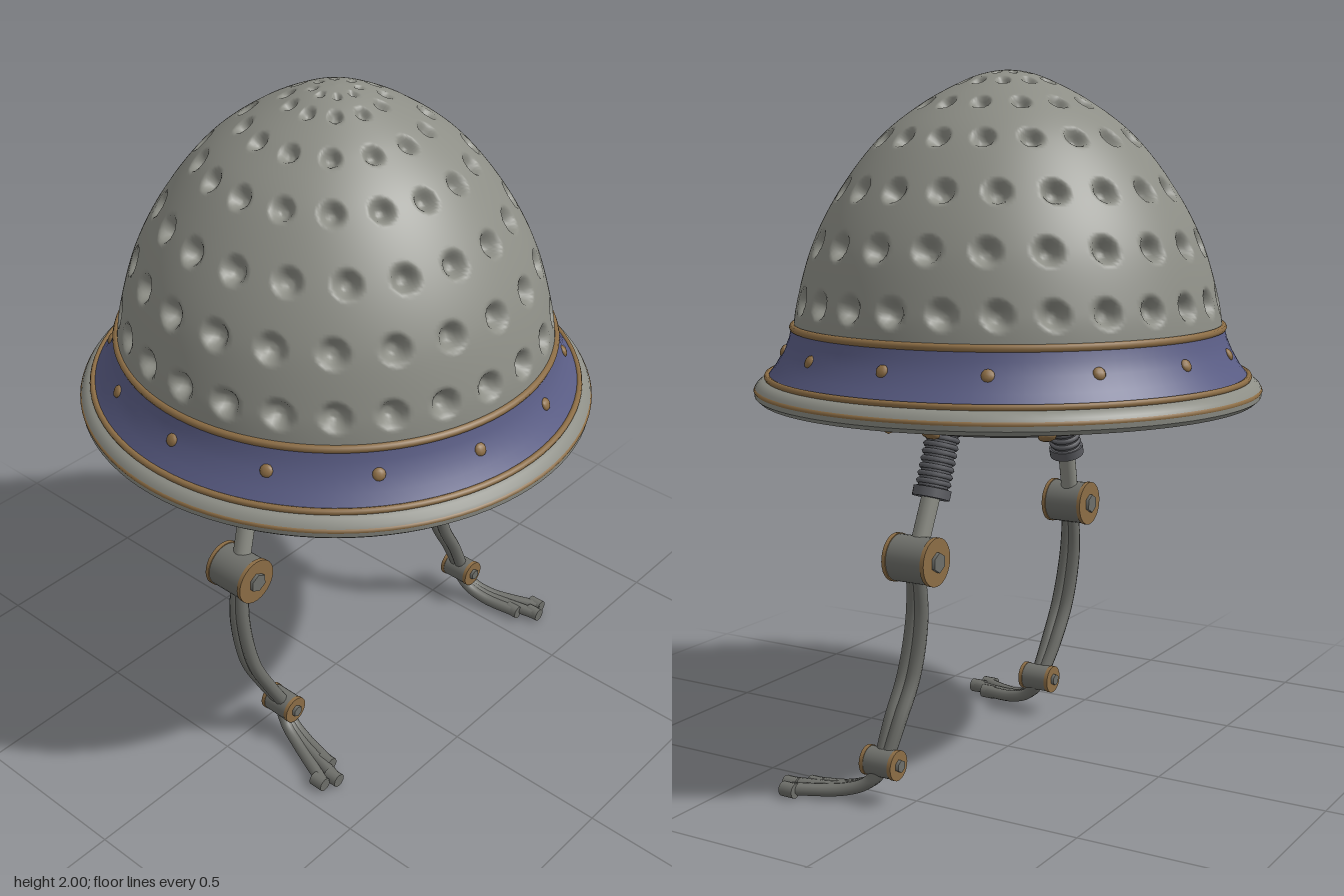
import * as THREE from 'three';
import { mergeVertices, toCreasedNormals } from 'three/addons/utils/BufferGeometryUtils.js';

const V = (x, y, z) => new THREE.Vector3(x, y, z);
const mat = (name, color, side = THREE.FrontSide) => {
  const m = new THREE.MeshStandardMaterial({ color, side });
  m.name = name;
  return m;
};

export function createModel() {
  const shell = mat('shell grey', 0x8d8e86);
  const blue = mat('band blue', 0x5a5d85, THREE.DoubleSide);
  const gold = mat('aged brass', 0x8c6d45);
  const metal = mat('leg grey', 0x6e6f6a);
  const dark = mat('underside grey', 0x5c5c59);
  const spring = mat('spring grey', 0x5a5b60);

  const model = new THREE.Group();
  const add = (parent, name, geometry, material, pos) => {
    const m = new THREE.Mesh(geometry, material);
    m.name = name;
    if (pos) m.position.copy(pos);
    parent.add(m);
    return m;
  };
  const lathe = (name, pts, material) => add(model, name, toCreasedNormals(
    new THREE.LatheGeometry(pts.map(p => new THREE.Vector2(...p)), 96), 0.5), material);
  const ring = (parent, name, r, tube, y, material) => {
    const m = add(parent, name, new THREE.TorusGeometry(r, tube, 8, r > 0.2 ? 96 : 24), material, V(0, y, 0));
    m.rotation.x = Math.PI / 2;
    return m;
  };
  const rod = (parent, name, a, b, r1, r2, material, sides = 20) => {
    const m = add(parent, name, new THREE.CylinderGeometry(r2, r1, a.distanceTo(b), sides), material,
      a.clone().lerp(b, 0.5));
    m.quaternion.setFromUnitVectors(V(0, 1, 0), b.clone().sub(a).normalize());
    return m;
  };
  const tube = (parent, name, pts, r, material) =>
    add(parent, name, new THREE.TubeGeometry(new THREE.CatmullRomCurve3(pts), 28, r, 10), material);

  // Dome: a fine lathe whose vertices sink into rows of round dimples
  const outline = new THREE.SplineCurve([
    [0.618, 1.26], [0.603, 1.36], [0.555, 1.52], [0.475, 1.67], [0.365, 1.81],
    [0.245, 1.905], [0.13, 1.967], [0.06, 1.992], [0, 2]
  ].map(p => new THREE.Vector2(...p)));
  // each row: radius, height, count, dimple size, half-step offset
  const rows = [
    [0.603, 1.36, 26, 0.045, 0.5], [0.555, 1.52, 22, 0.045, 0], [0.475, 1.67, 20, 0.043, 0.5],
    [0.365, 1.81, 18, 0.038, 0.5], [0.245, 1.905, 14, 0.032, 0], [0.13, 1.967, 11, 0.024, 0.5],
    [0.06, 1.992, 8, 0.015, 0]
  ];
  const dimples = [];
  for (const [r, y, n, size, off] of rows) {
    for (let i = 0; i < n; i++) {
      const a = (i + off) / n * Math.PI * 2;
      dimples.push({ c: V(Math.sin(a) * r, y, Math.cos(a) * r), size });
    }
  }
  let dome = new THREE.LatheGeometry(outline.getSpacedPoints(130), 360);
  dome.deleteAttribute('uv');
  dome.deleteAttribute('normal');
  dome = mergeVertices(dome, 1e-5);
  dome.computeVertexNormals();
  const pos = dome.attributes.position, nor = dome.attributes.normal;
  const p = V(0, 0, 0), n = V(0, 0, 0);
  for (let i = 0; i < pos.count; i++) {
    p.fromBufferAttribute(pos, i);
    n.fromBufferAttribute(nor, i);
    for (const { c, size } of dimples) {
      const t = p.distanceTo(c) / size;
      if (t < 1) {
        const s = Math.min(1, (1 - t) / 0.75);
        p.addScaledVector(n, -size * 0.85 * s * s * (3 - 2 * s));
        break;
      }
    }
    pos.setXYZ(i, p.x, p.y, p.z);
  }
  dome.computeVertexNormals();
  add(model, 'dimpledDome', dome, shell);

  // Flared band, brass edging and rim
  lathe('blueBand', [[0.695, 1.135], [0.668, 1.17], [0.645, 1.21], [0.63, 1.245], [0.622, 1.28]], blue);
  ring(model, 'upperTrim', 0.618, 0.011, 1.278, gold);
  ring(model, 'lowerTrim', 0.694, 0.009, 1.138, gold);
  lathe('rim', [[0.69, 1.066], [0.715, 1.07], [0.73, 1.083], [0.732, 1.1], [0.725, 1.115],
    [0.71, 1.128], [0.69, 1.134]], shell);
  ring(model, 'rimTrim', 0.724, 0.009, 1.1, gold);

  // Underside and shallow dish
  lathe('underside', [[0.4, 1.066], [0.69, 1.066]], dark);
  lathe('dish', [[0, 0.995], [0.3, 0.995], [0.4, 1.012], [0.45, 1.036], [0.468, 1.07]], dark);

  // Studs around the band and the dish
  const studs = (name, count, offset, r, y, tilt, size) => {
    const geometry = new THREE.SphereGeometry(size, 10, 6);
    geometry.scale(1, 1, 0.5);
    for (let i = 0; i < count; i++) {
      const a = (i + offset) / count * Math.PI * 2;
      const m = add(model, name, geometry, gold, V(Math.sin(a) * r, y, Math.cos(a) * r));
      m.rotation.set(tilt, a, 0, 'YXZ');
    }
  };
  studs('bandStud', 14, 0.5, 0.645, 1.213, -0.5, 0.018);
  studs('dishStud', 8, 0, 0.415, 1.015, 1.15, 0.026);

  // Pair of small bolts under the front
  for (const s of [-1, 1]) {
    rod(model, 'frontBolt', V(s * 0.16, 1.01, 0.285), V(s * 0.17, 0.972, 0.285), 0.032, 0.036, gold, 12);
    rod(model, 'frontBoltCap', V(s * 0.145, 0.99, 0.285), V(s * 0.205, 0.978, 0.285), 0.02, 0.018, gold, 8);
  }

  // Round joint on a z axis with brass faces and a hexagonal bolt
  const joint = (parent, name, c, r, half) => {
    const at = z => V(c.x, c.y, c.z + z);
    rod(parent, name, at(-half), at(half), r * 0.96, r * 0.96, metal, 28);
    for (const s of [-1, 1]) {
      rod(parent, name + 'Face', at(s * (half - 0.006)), at(s * (half + 0.006)), r, r, gold, 28);
      rod(parent, name + 'Bolt', at(s * half), at(s * (half + 0.016)), r * 0.42, r * 0.42, metal, 6);
    }
  };

  // Legs: mirrored hips and feet, shins bowed the same way on both sides
  for (const s of [-1, 1]) {
    const leg = new THREE.Group();
    leg.name = s > 0 ? 'leftLeg' : 'rightLeg';
    model.add(leg);
    const hip = V(s * 0.33, 1.02, 0.01), low = V(s * 0.39, 0.845, 0.015), knee = V(s * 0.448, 0.67, 0.03);
    rod(leg, 'springCore', hip, low, 0.042, 0.042, spring);
    const axis = low.clone().sub(hip).normalize();
    for (let i = 0; i < 9; i++) {
      const coil = add(leg, 'springCoil', new THREE.TorusGeometry(0.042, 0.008, 6, 20), spring,
        hip.clone().lerp(low, (i + 0.5) / 9));
      coil.quaternion.setFromUnitVectors(V(0, 0, 1), axis);
    }
    rod(leg, 'springCollar', low.clone().addScaledVector(axis, -0.015),
      low.clone().addScaledVector(axis, 0.012), 0.053, 0.053, spring);
    rod(leg, 'thighRod', low, knee, 0.026, 0.026, shell);
    joint(leg, 'knee', knee, 0.068, 0.062);

    const ankle = V(knee.x + (s > 0 ? 0.1 : 0.118), 0.113, 0.078);
    const dx = s > 0 ? -0.018 : -0.015;
    for (const k of [-1, 1]) {
      tube(leg, 'shinStrand', [
        V(knee.x, 0.64, 0.03 + k * 0.008),
        V(knee.x + dx, 0.5, 0.04 + k * 0.014),
        V(knee.x + dx + 0.02, 0.34, 0.055 + k * 0.016),
        V(knee.x + 0.06, 0.22, 0.065 + k * 0.014),
        V(ankle.x, ankle.y, ankle.z + k * 0.008)
      ], 0.02, metal);
    }
    joint(leg, 'ankle', ankle, 0.042, 0.046);

    // Foot: three toes fanning out from the ankle
    [[0.03, 0.3], [0.065, 0.36], [0.105, 0.34]].forEach(([out, z], i) => {
      const side = (i - 1) * 0.012;
      const end = V(ankle.x + s * out, 0.022, z);
      tube(leg, 'toe', [
        V(ankle.x + s * side, 0.1, 0.08),
        V(ankle.x + s * (0.01 + side), 0.055, 0.115),
        V(ankle.x + s * (0.025 + side * 1.4), 0.03, 0.18),
        end
      ], 0.018, metal);
      rod(leg, 'toeTip', end.clone().add(V(0, 0, -0.04)), end.clone().add(V(0, 0, 0.004)), 0.021, 0.021, metal, 12);
    });
  }
  return model;
}
